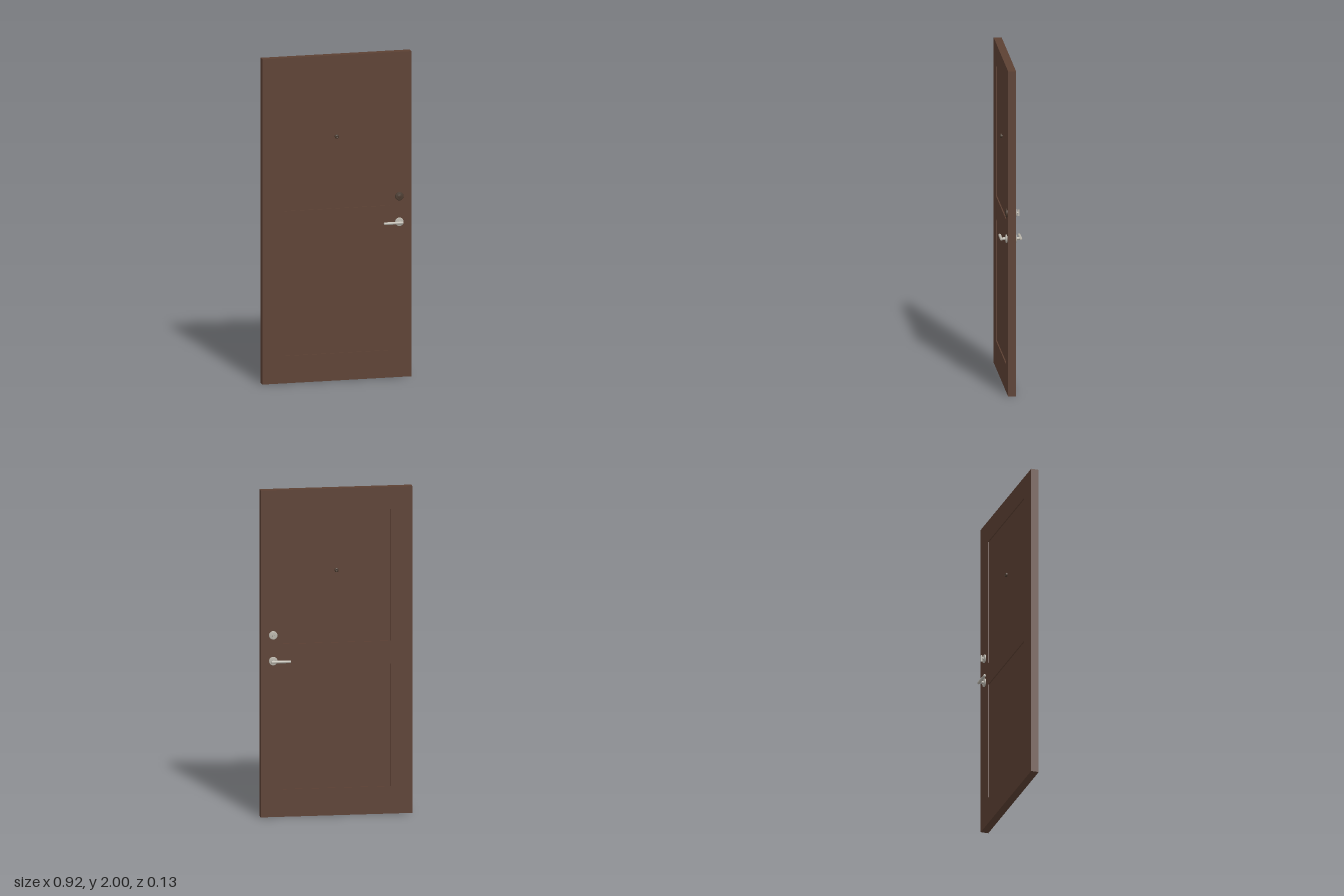
import * as THREE from 'three';

const material = (name, color) => {
  const m = new THREE.MeshStandardMaterial({ color });
  m.name = name;
  return m;
};

export function createModel() {
  const wood = material('brown wood', 0x5c4033);
  const steel = material('satin metal', 0xb8b4aa);
  const bronze = material('dark bronze', 0x4a3a2e);

  const door = new THREE.Group();
  door.name = 'door';
  const add = (parent, name, geometry, mat, x = 0, y = 0, z = 0) => {
    const mesh = new THREE.Mesh(geometry, mat);
    mesh.name = name;
    mesh.position.set(x, y, z);
    parent.add(mesh);
    return mesh;
  };
  // Turned part along +z from [radius, z] points; faceted rims stay crisp
  const turned = (points, sides = 24) => {
    const g = new THREE.LatheGeometry(points.map(([r, z]) => new THREE.Vector2(r, z)), sides);
    return g.rotateX(Math.PI / 2);
  };
  const rect = (path, x0, y0, x1, y1) => {
    path.moveTo(x0, y0);
    path.lineTo(x1, y0);
    path.lineTo(x1, y1);
    path.lineTo(x0, y1);
    path.closePath();
    return path;
  };

  // Stiles and rails around two recessed panels
  const W = 0.46, T = 0.024, P = 0.326;
  const panels = [[0.168, 0.918], [1.058, 1.863]];
  const outline = rect(new THREE.Shape(), -W, 0, W, 2);
  for (const [low, high] of panels) outline.holes.push(rect(new THREE.Path(), -P, low, P, high));
  const frame = new THREE.ExtrudeGeometry(outline, { depth: 2 * T, bevelEnabled: false });
  add(door, 'frame', frame, wood, 0, 0, -T);
  for (const [low, high] of panels) {
    add(door, 'panel', new THREE.BoxGeometry(2 * P, high - low, 0.034), wood, 0, (low + high) / 2, 0);
  }

  const X = 0.385;
  const rose = [[0.026, 0], [0.026, 0.006], [0.022, 0.009], [0, 0.009]];
  for (const side of [1, -1]) {
    // Fittings are modelled along +z and turned around for the back
    const fitting = (name, x, y, z = T) => {
      const g = new THREE.Group();
      g.name = name;
      g.position.set(x, y, side * z);
      if (side < 0) g.rotation.y = Math.PI;
      door.add(g);
      return g;
    };

    // Lever handle: rose, neck and a bar pointing to the hinge side
    const lever = fitting('leverHandle', X, 0.955);
    add(lever, 'rose', turned(rose), steel);
    add(lever, 'neck', turned([[0.009, 0.008], [0.009, 0.036]], 16), steel);
    const bar = turned([[0, -0.06], [0.006, -0.06], [0.0085, -0.057],
      [0.0085, 0.057], [0.006, 0.06], [0, 0.06]], 16).rotateY(Math.PI / 2);
    add(lever, 'bar', bar, steel, -0.043 * side, 0, 0.0345);

    // Deadbolt: key cylinder in front, thumb turn behind
    const bolt = fitting('deadbolt', X, 1.113);
    if (side > 0) {
      add(bolt, 'lockRose', turned(rose), bronze);
      add(bolt, 'keyCylinder', turned([[0.012, 0.008], [0.012, 0.011], [0, 0.011]]), bronze);
    } else {
      add(bolt, 'lockRose', turned(rose), steel);
      add(bolt, 'turnStem', turned([[0.009, 0.008], [0.006, 0.02]], 16), steel);
      add(bolt, 'thumbTurn', new THREE.BoxGeometry(0.008, 0.04, 0.01), steel, 0, 0, 0.021);
    }

    // Peephole over the recessed upper panel
    const peephole = fitting('peephole', 0, 1.5, 0.017);
    add(peephole, 'peepholeRing', turned([[0.013, 0], [0.013, 0.008], [0.009, 0.012],
      [0.006, 0.012], [0.006, 0.008], [0, 0.008]]), bronze);
  }
  return door;
}
